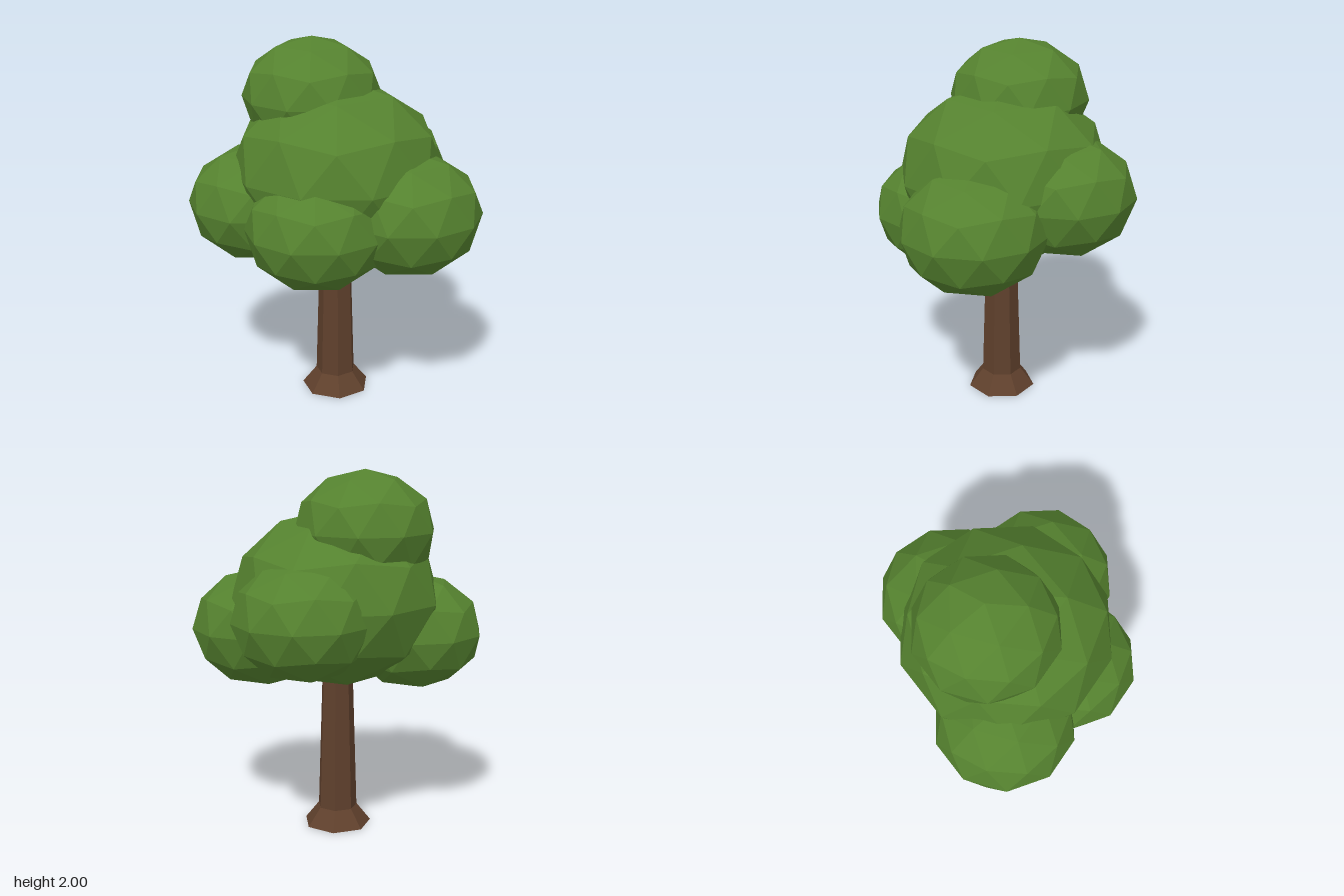
import * as THREE from 'three';

const leafMaterial = new THREE.MeshStandardMaterial({ color: 0x55822f, flatShading: true });
const barkMaterial = new THREE.MeshStandardMaterial({ color: 0x5f402c, flatShading: true });

// Faceted ball with a corner pointing straight up, slightly squashed in height
function leafClump(name, radius, x, y, z) {
  const geometry = new THREE.IcosahedronGeometry(1, 1);
  geometry.rotateX(-Math.atan((1 + Math.sqrt(5)) / 2));
  geometry.rotateY(Math.PI / 2);
  geometry.scale(radius, radius * 0.843, radius);
  geometry.computeVertexNormals();
  const mesh = new THREE.Mesh(geometry, leafMaterial);
  mesh.name = name;
  mesh.position.set(x, y, z);
  return mesh;
}

// Seven-sided tapered section standing between two heights
function trunkSection(name, topRadius, bottomRadius, bottom, top) {
  const geometry = new THREE.CylinderGeometry(topRadius, bottomRadius, top - bottom, 7);
  geometry.rotateY(Math.PI);
  const mesh = new THREE.Mesh(geometry, barkMaterial);
  mesh.name = name;
  mesh.position.set(-0.015, (bottom + top) / 2, 0.02);
  return mesh;
}

export function createModel() {
  const tree = new THREE.Group();
  tree.name = 'tree';

  // Trunk with a flared foot
  tree.add(trunkSection('trunkFoot', 0.112, 0.19, 0, 0.1));
  tree.add(trunkSection('trunk', 0.08, 0.111, 0.1, 1.1));

  // Crown: one large clump, a top clump and four around the sides
  const crown = new THREE.Group();
  crown.name = 'crown';
  const clumps = [
    ['mainClump', 0.575, -0.01, 1.305, 0],
    ['topClump', 0.38, -0.17, 1.68, -0.05],
    ['frontClump', 0.38, -0.01, 1.07, 0.34],
    ['backClump', 0.383, 0.115, 1.24, -0.342],
    ['leftClump', 0.395, 0.41, 1.12, 0.08],
    ['rightClump', 0.38, -0.43, 1.108, 0.12],
  ];
  for (const clump of clumps) crown.add(leafClump(...clump));
  tree.add(crown);

  return tree;
}
